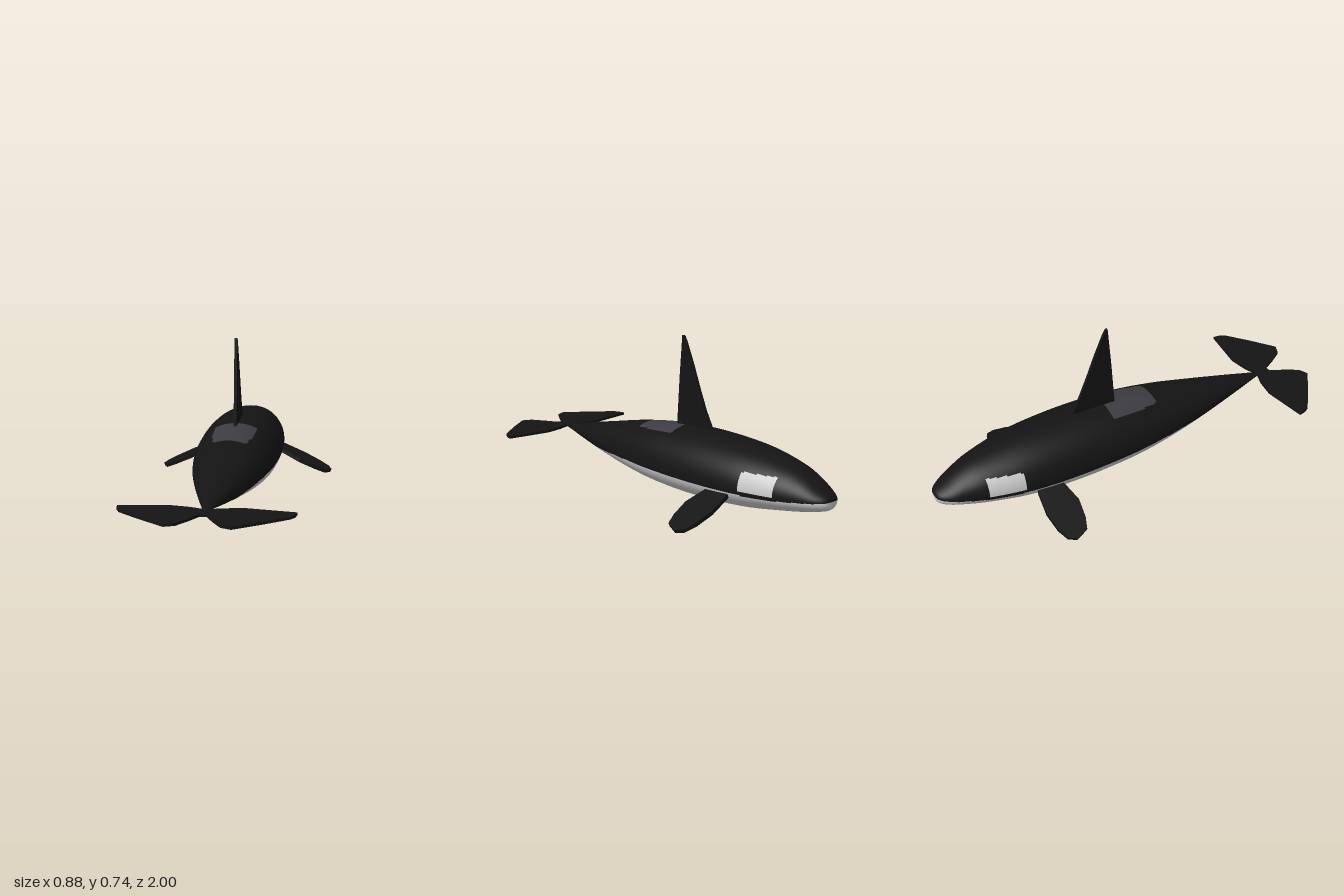
import * as THREE from 'three';

const material = (color) => new THREE.MeshStandardMaterial({ color });
const BLACK = material(0x141415);
const WHITE = material(0xcccccc);
const GREY = material(0x3c3c42);
const MID = 0.158; // height of the widest line of the body

// Body stations from nose to tail: z, half width, top y, bottom y
const STATIONS = [
  [-1, 0.001, 0.159, 0.157], [-0.992, 0.04, 0.18, 0.125], [-0.95, 0.077, 0.205, 0.108],
  [-0.88, 0.108, 0.245, 0.092], [-0.78, 0.143, 0.282, 0.075], [-0.6, 0.184, 0.316, 0.048],
  [-0.4, 0.2, 0.331, 0.033], [-0.2, 0.2, 0.332, 0.029], [0, 0.189, 0.318, 0.038],
  [0.2, 0.159, 0.288, 0.061], [0.4, 0.114, 0.246, 0.091], [0.6, 0.062, 0.203, 0.125],
  [0.73, 0.026, 0.174, 0.149], [0.8, 0.006, 0.162, 0.155],
];

// Which marking covers a point of the skin
function markingAt(x, y, z) {
  if (z < 0.42 && y < 0.14 + 0.08 * Math.max(0, -z - 0.75) - 0.06 * Math.max(0, z - 0.2)) return 'belly';
  if (z > -0.785 && z < -0.62 && y > 0.16 && y < 0.24) return 'eyePatches';
  if (z > -0.13 && z < 0.13 && y > MID && Math.abs(x) < 0.1 - 0.2 * Math.max(0, z)) return 'saddlePatch';
  return 'back';
}

// One smooth skin of elliptical rings, split into coloured markings
function makeBody() {
  const upper = new THREE.CatmullRomCurve3(STATIONS.map(([z, w, t]) => new THREE.Vector3(w, t, z)), false, 'catmullrom');
  const lower = new THREE.CatmullRomCurve3(STATIONS.map(([z, w, , b]) => new THREE.Vector3(w, b, z)), false, 'catmullrom');
  const rings = 208, sides = 128;
  const pos = [], index = [];
  const parts = { back: [], belly: [], eyePatches: [], saddlePatch: [] };
  for (let i = 0; i <= rings; i++) {
    const u = upper.getPoint(i / rings), l = lower.getPoint(i / rings);
    for (let j = 0; j < sides; j++) {
      const a = (j / sides) * Math.PI * 2, s = Math.sin(a);
      pos.push(u.x * Math.cos(a), MID + s * (s > 0 ? u.y - MID : MID - l.y), u.z);
    }
  }
  for (let i = 0; i < rings; i++) {
    for (let j = 0; j < sides; j++) {
      const a = i * sides + j, b = i * sides + ((j + 1) % sides);
      const c = a + sides, d = b + sides;
      const mean = (k) => (pos[a * 3 + k] + pos[b * 3 + k] + pos[c * 3 + k] + pos[d * 3 + k]) / 4;
      const faces = [a, b, c, b, d, c];
      index.push(...faces);
      parts[markingAt(mean(0), mean(1), mean(2))].push(...faces);
    }
  }
  const skin = new THREE.BufferGeometry();
  skin.setAttribute('position', new THREE.Float32BufferAttribute(pos, 3));
  skin.setIndex(index);
  skin.computeVertexNormals();

  const body = new THREE.Group();
  body.name = 'body';
  const colors = { back: BLACK, belly: WHITE, eyePatches: WHITE, saddlePatch: GREY };
  for (const [name, faces] of Object.entries(parts)) {
    const g = new THREE.BufferGeometry();
    g.setAttribute('position', skin.attributes.position);
    g.setAttribute('normal', skin.attributes.normal);
    g.setIndex(faces);
    const mesh = new THREE.Mesh(g, colors[name]);
    mesh.name = name;
    body.add(mesh);
  }
  return body;
}

// Thin plate from an outline, centred on its thickness
function plate(name, points, depth) {
  const shape = new THREE.Shape(points.map(([x, y]) => new THREE.Vector2(x, y)));
  const g = new THREE.ExtrudeGeometry(shape, { depth, bevelEnabled: false });
  g.translate(0, 0, -depth / 2);
  const mesh = new THREE.Mesh(g, BLACK);
  mesh.name = name;
  return mesh;
}

export function createModel() {
  const model = new THREE.Group();
  model.name = 'whale';
  model.add(makeBody());

  // Dorsal fin, outline in (-z, y)
  const dorsal = plate('dorsalFin', [
    [0.065, 0.29], [0.32, 0.29], [0.295, 0.333], [0.25, 0.415], [0.205, 0.52],
    [0.165, 0.62], [0.125, 0.71], [0.108, 0.742], [0.1, 0.745], [0.083, 0.55],
  ], 0.014);
  dorsal.geometry.rotateY(Math.PI / 2);
  model.add(dorsal);

  const tilt = 0.43;
  for (const [side, s] of [['left', 1], ['right', -1]]) {
    // Tail fluke, outline in (x, z)
    const fluke = plate(side + 'Fluke', [
      [0, 0.775], [0.07, 0.75], [0.16, 0.735], [0.375, 0.765], [0.37, 0.795], [0.355, 0.825],
      [0.25, 0.91], [0.135, 0.995], [0.09, 0.975], [0.05, 0.91], [0.015, 0.843], [0, 0.843],
    ].map(([x, z]) => [s * x, z]), 0.012);
    fluke.geometry.rotateX(Math.PI / 2);
    fluke.position.y = MID;
    model.add(fluke);

    // Pectoral fin, sloping down and out from its root
    const fin = plate(side + 'PectoralFin', [
      [-0.05, -0.56], [0, -0.575], [0.11, -0.586], [0.2, -0.572], [0.252, -0.548],
      [0.27, -0.51], [0.245, -0.45], [0.19, -0.43], [0.1, -0.418], [0, -0.445], [-0.05, -0.47],
    ].map(([x, z]) => [s * x, z]), 0.018);
    fin.geometry.rotateX(Math.PI / 2);
    fin.position.set(s * 0.19, 0.121, 0);
    fin.rotation.z = -s * tilt;
    model.add(fin);
  }
  return model;
}
